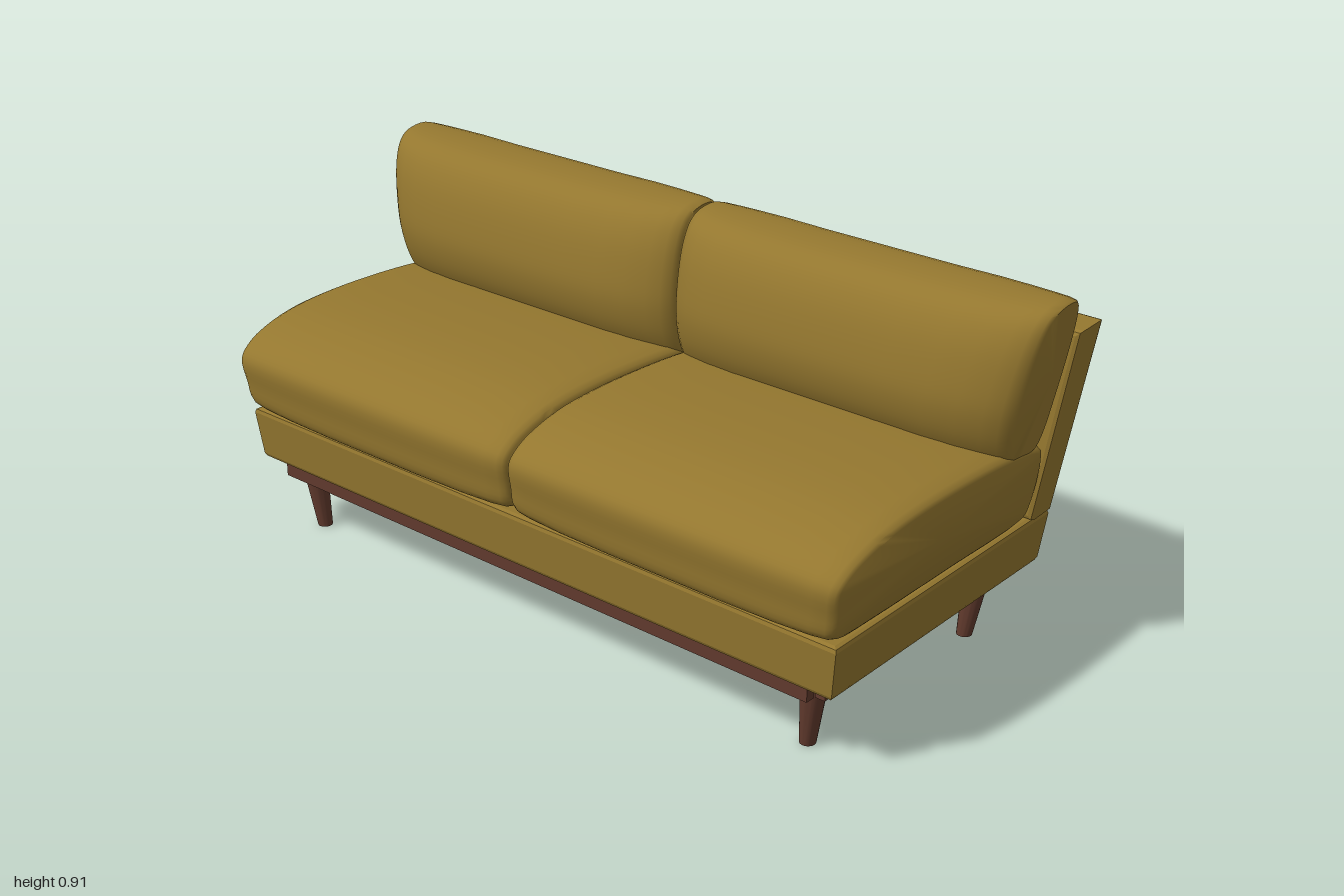
import * as THREE from 'three';
import { toCreasedNormals } from 'three/addons/utils/BufferGeometryUtils.js';

const fabric = new THREE.MeshStandardMaterial({ color: 0x94772f });
fabric.name = 'mustard fabric';
const wood = new THREE.MeshStandardMaterial({ color: 0x613a2d });
wood.name = 'brown wood';

function add(group, name, geometry, material) {
  const mesh = new THREE.Mesh(geometry, material);
  mesh.name = name;
  group.add(mesh);
  return mesh;
}

// Move every vertex by a rule, then rebuild normals with sharp edges
function reshape(geometry, rule) {
  const pos = geometry.attributes.position;
  const v = new THREE.Vector3();
  for (let i = 0; i < pos.count; i++) {
    rule(v.fromBufferAttribute(pos, i));
    pos.setXYZ(i, v.x, v.y, v.z);
  }
  return toCreasedNormals(geometry, 0.3);
}

function bevelled(shape, height, bevel) {
  const g = new THREE.ExtrudeGeometry(shape, {
    depth: height - 2 * bevel, bevelThickness: bevel, bevelSize: bevel,
    bevelOffset: -bevel, bevelSegments: 2,
  });
  return g.translate(0, 0, bevel);
}

function polygon(points) {
  return new THREE.Shape(points.map(([x, y]) => new THREE.Vector2(x, y)));
}

const rect = (x, z0, z1) => [[-x, z0], [x, z0], [x, z1], [-x, z1]];

// Padded cushion: a closed (z, y) profile swept in x, pinched near both ends.
// Each end row is [distance from the end, z scale, y scale].
function cushion(profile, center, ends, outerX, side) {
  const curve = new THREE.CatmullRomCurve3(
    profile.map(([z, y]) => new THREE.Vector3(0, y, z)), true, 'centripetal');
  const ring = curve.getPoints(64).slice(0, -1);
  const inner = 0.004;
  const rows = [
    ...ends.map((e) => [e, false]),
    ...ends.slice().reverse().map((e) => [e, true]),
  ];
  const n = ring.length;
  const pos = [];
  const index = [];
  const [cz, cy] = center;
  const tri = (a, b, c) => (side > 0 ? index.push(a, b, c) : index.push(a, c, b));
  rows.forEach(([[d, sz, sy], outer]) => {
    for (const p of ring) {
      const y = cy + (p.y - cy) * sy;
      const x = outer ? outerX(y) - d : inner + d;
      pos.push(side * x, y, cz + (p.z - cz) * sz);
    }
  });
  for (let i = 0; i < rows.length - 1; i++) {
    for (let j = 0; j < n; j++) {
      const k = (j + 1) % n;
      const a = i * n + j, b = a + n, c = (i + 1) * n + k, e = i * n + k;
      tri(a, b, c);
      tri(a, c, e);
    }
  }
  // End caps
  const last = (rows.length - 1) * n;
  const c0 = pos.length / 3;
  pos.push(side * inner, cy, cz, side * outerX(cy), cy, cz);
  for (let j = 0; j < n; j++) {
    const k = (j + 1) % n;
    tri(c0, j, k);
    tri(c0 + 1, last + k, last + j);
  }
  const g = new THREE.BufferGeometry();
  g.setAttribute('position', new THREE.Float32BufferAttribute(pos, 3));
  g.setIndex(index);
  return toCreasedNormals(g, 0.75);
}

export function createModel() {
  const sofa = new THREE.Group();
  sofa.name = 'sofa';

  // Hollow upholstered base, flaring slightly upwards
  const baseShape = polygon(rect(0.9, -0.41, 0.395));
  baseShape.holes.push(new THREE.Path(
    rect(0.845, -0.355, 0.34).map(([x, y]) => new THREE.Vector2(x, y))));
  const base = bevelled(baseShape, 0.138, 0.012).rotateX(-Math.PI / 2);
  add(sofa, 'base', reshape(base, (v) => {
    const t = v.y / 0.138;
    v.x *= 1 + 0.018 * t;
    v.z = v.z * (1 + 0.03 * t);
    v.y += 0.187 + (0.4 - v.z) * 0.008;
  }), fabric);

  // Backrest panel, wider at the top and leaning back
  const panel = bevelled(
    polygon([[-0.92, 0.335], [0.92, 0.335], [0.985, 0.806], [-0.985, 0.806]]), 0.1, 0.012);
  add(sofa, 'backrest', reshape(panel, (v) => {
    const t = (v.y - 0.335) / 0.471;
    v.z = v.z * (0.92 + 0.08 * t) - 0.412 - 0.04 * t;
    v.y -= (v.z + 0.4) * 0.05;
  }), fabric);

  // Seat and back cushions, one of each per side
  const seatProfile = [
    [0.41, 0.325], [0.44, 0.342], [0.45, 0.4], [0.455, 0.472], [0.42, 0.51], [0.37, 0.535],
    [0.28, 0.56], [0.16, 0.572], [0, 0.573], [-0.18, 0.562], [-0.31, 0.54], [-0.335, 0.52],
    [-0.325, 0.345], [-0.3, 0.328], [0, 0.322], [0.3, 0.32],
  ];
  const seatEnds = [
    [0, 0.945, 0.8], [0.006, 0.968, 0.87], [0.02, 0.982, 0.92],
    [0.06, 0.99, 0.955], [0.15, 0.996, 0.985], [0.3, 1, 1],
  ];
  const backProfile = [
    [-0.14, 0.533], [-0.105, 0.58], [-0.086, 0.655], [-0.091, 0.73], [-0.115, 0.82],
    [-0.15, 0.873], [-0.2, 0.899], [-0.315, 0.9], [-0.337, 0.872], [-0.346, 0.8],
    [-0.335, 0.67], [-0.312, 0.56], [-0.285, 0.531], [-0.21, 0.527],
  ];
  const backEnds = [
    [0, 0.62, 0.97], [0.006, 0.7, 0.99], [0.025, 0.78, 1], [0.06, 0.86, 1],
    [0.12, 0.94, 1], [0.2, 0.985, 1], [0.32, 1, 0.99],
  ];
  for (const side of [1, -1]) {
    const label = side > 0 ? 'left' : 'right';
    add(sofa, label + 'SeatCushion', cushion(seatProfile, [0.06, 0.44], seatEnds,
      (y) => 0.912 + (y - 0.33) * 0.13, side), fabric);
    add(sofa, label + 'BackCushion', cushion(backProfile, [-0.275, 0.715], backEnds,
      (y) => 0.935 + (y - 0.53) * 0.176, side), fabric);
  }

  // Wooden rails under the base
  const rail = (name, w, d, x, z) =>
    add(sofa, name, new THREE.BoxGeometry(w, 0.038, d).translate(x, 0.172, z), wood);
  rail('frontRail', 1.66, 0.024, 0, 0.387);
  rail('backRail', 1.66, 0.024, 0, -0.352);
  rail('leftRail', 0.026, 0.705, 0.843, 0.0175);
  rail('rightRail', 0.026, 0.705, -0.843, 0.0175);

  // Tapered legs, splayed slightly outwards at the top
  for (const side of [1, -1]) {
    for (const [name, topZ, footZ] of [['Front', 0.333, 0.324], ['Back', -0.303, -0.292]]) {
      const leg = new THREE.CylinderGeometry(0.033, 0.019, 0.185, 24).translate(0, 0.0925, 0);
      const geometry = reshape(leg.toNonIndexed(), (v) => {
        const t = v.y / 0.185;
        v.x += side * (0.783 + 0.02 * t);
        v.z += footZ + (topZ - footZ) * t;
      });
      add(sofa, (side > 0 ? 'left' : 'right') + name + 'Leg', geometry, wood);
    }
  }
  return sofa;
}
